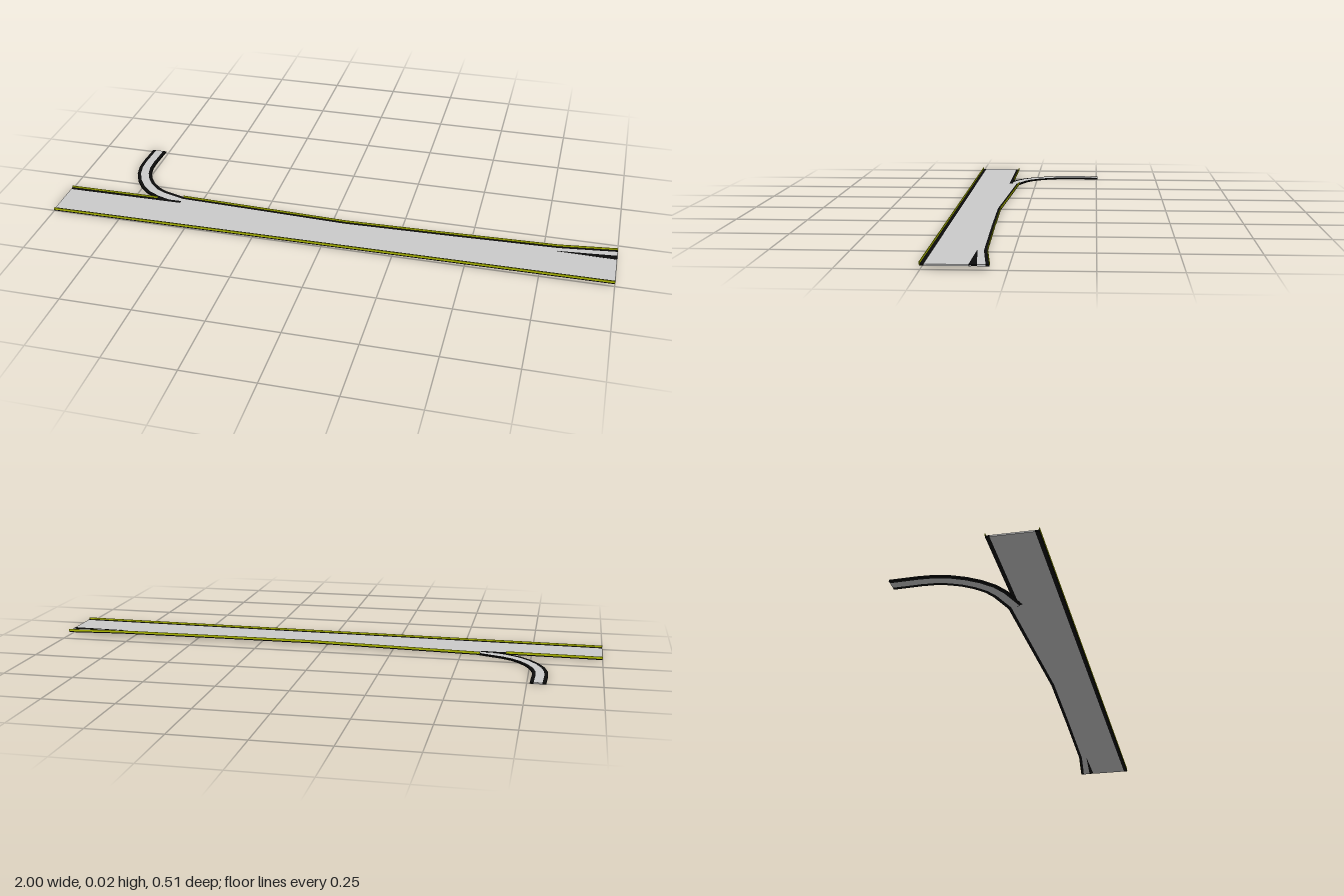
import * as THREE from 'three';

const grey = new THREE.MeshStandardMaterial({ color: 0xcccccc });
const black = new THREE.MeshStandardMaterial({ color: 0x0c0c0c });
const yellow = new THREE.MeshStandardMaterial({ color: 0xb4c000 });
const THICK = 0.005;

// The main road climbs gently toward +x
const deckY = (x) => 0.0125 + 0.0045 * x;

// Closed strip between a left edge and a right edge, each a list of [x, y, z]
function strip(name, material, left, right, thick = THICK) {
  const pos = [];
  const rings = left.map((l, i) => {
    const r = right[i];
    return [l, r, [r[0], r[1] - thick, r[2]], [l[0], l[1] - thick, l[2]]];
  });
  const quad = (a, b, c, d) => pos.push(...a, ...b, ...c, ...a, ...c, ...d);
  for (let i = 0; i < rings.length - 1; i++) {
    for (let k = 0; k < 4; k++) {
      const n = (k + 1) % 4;
      quad(rings[i][k], rings[i][n], rings[i + 1][n], rings[i + 1][k]);
    }
  }
  const [s, e] = [rings[0], rings[rings.length - 1]];
  quad(s[3], s[2], s[1], s[0]);
  quad(e[0], e[1], e[2], e[3]);
  const geo = new THREE.BufferGeometry();
  geo.setAttribute('position', new THREE.Float32BufferAttribute(pos, 3));
  geo.computeVertexNormals();
  const mesh = new THREE.Mesh(geo, material);
  mesh.name = name;
  return mesh;
}

// Lay [x, z] points on the deck, shifted sideways and lifted
const onDeck = (pts, dz = 0, dy = 0) => pts.map(([x, z]) => [x, deckY(x) + dy, z + dz]);

// Thin upright rail along an outer edge
const rail = (name, pts) =>
  strip(name, yellow, onDeck(pts, -0.001, 0.007), onDeck(pts, 0.001, 0.007), 0.008);

export function createModel() {
  const group = new THREE.Group();
  group.name = 'highwayWithRamps';

  // Main carriageway and front shoulder
  const back = [[-1, 0.105], [1, 0.105]];
  const front = [[-1, 0.239], [1, 0.239]];
  const frontEdge = [[-1, 0.252], [1, 0.252]];
  group.add(strip('mainRoad', grey, onDeck(back), onDeck(front)));
  group.add(strip('frontShoulder', black, onDeck(front), onDeck(frontEdge)));
  group.add(rail('frontRail', frontEdge));

  // Back shoulder before the ramp joins
  const west = [[-1, 0.105], [-0.57, 0.105]];
  group.add(strip('backShoulder', black, onDeck(west, -0.013), onDeck(west)));
  group.add(rail('backRail', [[-1, 0.092], [-0.66, 0.092]]));

  // Merging lane narrows to nothing, then the exit lane widens
  const merge = [[-0.57, 0.076], [-0.3, 0.088], [0.05, 0.104]];
  const exit = [[0.05, 0.104], [0.4, 0.097], [0.8, 0.086], [1, 0.063]];
  const inner = [[0.05, 0.105], [0.4, 0.105], [0.8, 0.105], [1, 0.088]];
  group.add(strip('mergeLane', grey, onDeck(merge), onDeck(merge.map(([x]) => [x, 0.105]))));
  group.add(strip('exitLane', grey, onDeck(exit), onDeck(inner)));
  for (const [name, edge] of [['merge', merge], ['exit', exit]]) {
    group.add(strip(name + 'Shoulder', black, onDeck(edge, -0.011), onDeck(edge)));
    group.add(rail(name + 'Rail', onDeck(edge, -0.011).map(([x, , z]) => [x, z])));
  }
  // Dark wedge between the exit lane and the main road
  group.add(strip('exitGore', black,
    onDeck([[0.8, 0.105], [1, 0.088]], 0, 0.0004),
    onDeck([[0.8, 0.107], [1, 0.112]], 0, 0.0004)));

  // Curved entry ramp with a shoulder on each side
  const curve = new THREE.CatmullRomCurve3([
    [-0.787, -0.255], [-0.787, -0.11], [-0.755, -0.025], [-0.69, 0.045], [-0.57, 0.0905],
  ].map(([x, z]) => new THREE.Vector3(x, 0, z)));
  const SEG = 10;
  const rampEdge = (offset) => Array.from({ length: SEG + 1 }, (_, i) => {
    const u = i / SEG;
    const p = curve.getPointAt(u);
    const t = curve.getTangentAt(u);
    const y = THREE.MathUtils.lerp(0.006, deckY(-0.57) - 0.0005, u * u);
    return [p.x + t.z * offset, y, p.z - t.x * offset];
  });
  const offsets = [0.027, 0.0145, -0.0145, -0.027];
  ['rampInnerShoulder', 'rampRoad', 'rampOuterShoulder'].forEach((name, i) => {
    group.add(strip(name, i === 1 ? grey : black, rampEdge(offsets[i]), rampEdge(offsets[i + 1])));
  });

  return group;
}
